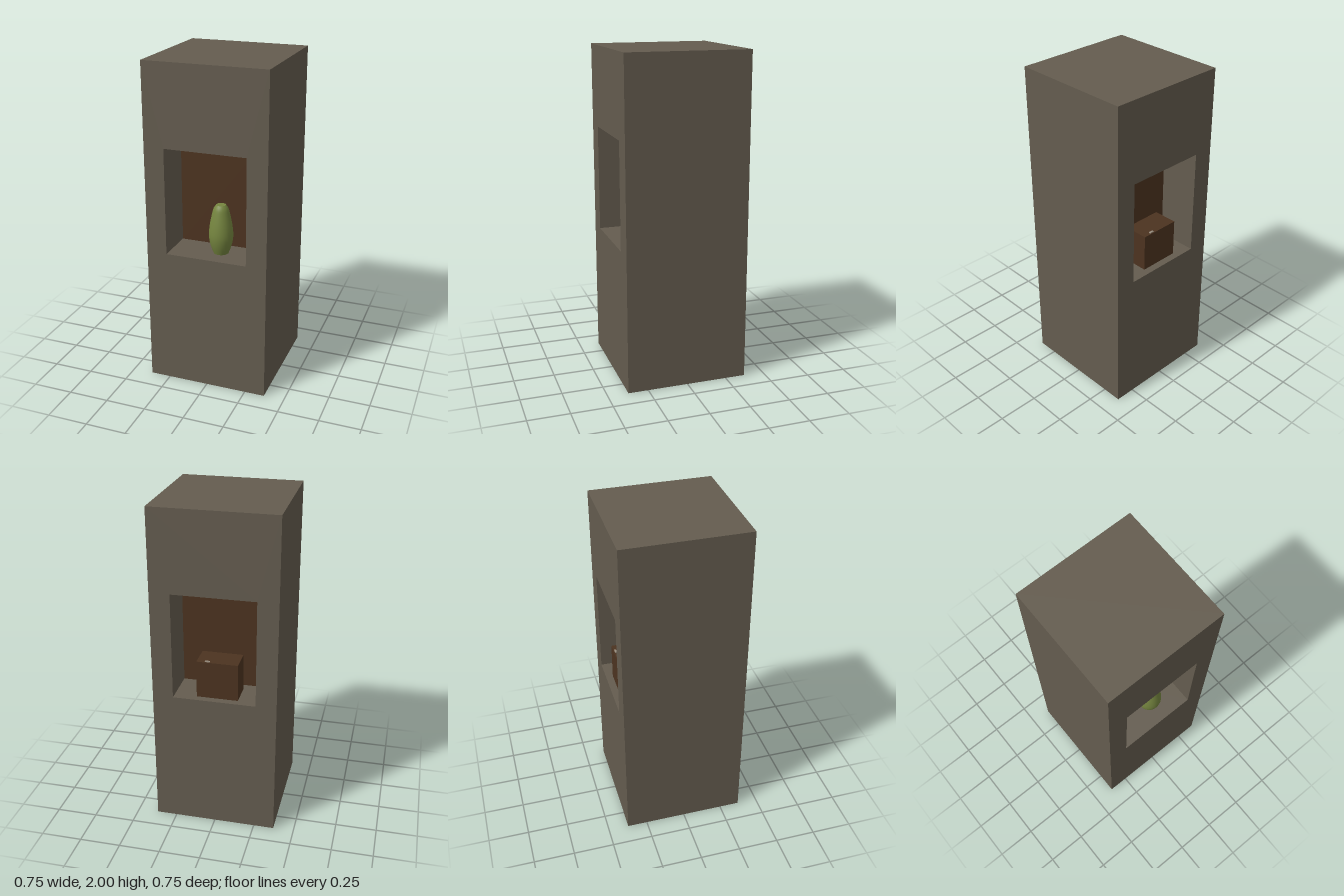
import * as THREE from 'three';

const mat = (name, color) => {
  const m = new THREE.MeshStandardMaterial({ color });
  m.name = name;
  return m;
};

export function createModel() {
  const stone = mat('stone', 0x645c4f);
  const wood = mat('dark wood', 0x4c3320);
  const glaze = mat('green glaze', 0x75853f);
  const metal = mat('pale metal', 0x9a8f80);

  const group = new THREE.Group();
  group.name = 'nichePillar';
  const add = (name, geometry, material, x, y, z) => {
    const mesh = new THREE.Mesh(geometry, material);
    mesh.name = name;
    mesh.position.set(x, y, z);
    group.add(mesh);
  };

  const half = 0.374;
  const sill = 0.85;
  const nicheW = 0.5;
  const nicheH = 0.654;

  // Pillar with an opening right through, front to back
  const outline = new THREE.Shape([
    new THREE.Vector2(-half, 0), new THREE.Vector2(half, 0),
    new THREE.Vector2(half, 2), new THREE.Vector2(-half, 2),
  ]);
  outline.holes.push(new THREE.Path([
    new THREE.Vector2(-nicheW / 2, sill), new THREE.Vector2(-nicheW / 2, sill + nicheH),
    new THREE.Vector2(nicheW / 2, sill + nicheH), new THREE.Vector2(nicheW / 2, sill),
  ]));
  add('pillar', new THREE.ExtrudeGeometry(outline, { depth: 2 * half, bevelEnabled: false }),
    stone, 0, 0, -half);

  // Wooden core dividing the opening into a front and a back niche
  add('nicheBackPanel', new THREE.BoxGeometry(nicheW, nicheH, 0.25), wood, 0, sill + nicheH / 2, 0);

  // Vase in the front niche: smooth body between flat base and top
  const body = new THREE.SplineCurve([
    [0.045, 0], [0.063, 0.05], [0.073, 0.11], [0.067, 0.18], [0.053, 0.25], [0.043, 0.285], [0.029, 0.305],
  ].map(([r, y]) => new THREE.Vector2(r, y))).getPoints(18);
  add('vase', new THREE.LatheGeometry(body, 24), glaze, 0.046, sill, 0.235);
  const top = new THREE.CircleGeometry(0.029, 24).rotateX(-Math.PI / 2);
  add('vaseTop', top, glaze, 0.046, sill + 0.305, 0.235);

  // Chest in the back niche with a small stud on its lid
  add('chest', new THREE.BoxGeometry(0.25, 0.23, 0.15), wood, -0.01, sill + 0.115, -0.255);
  add('chestStud', new THREE.BoxGeometry(0.03, 0.006, 0.012), metal, 0.05, sill + 0.232, -0.318);

  return group;
}
